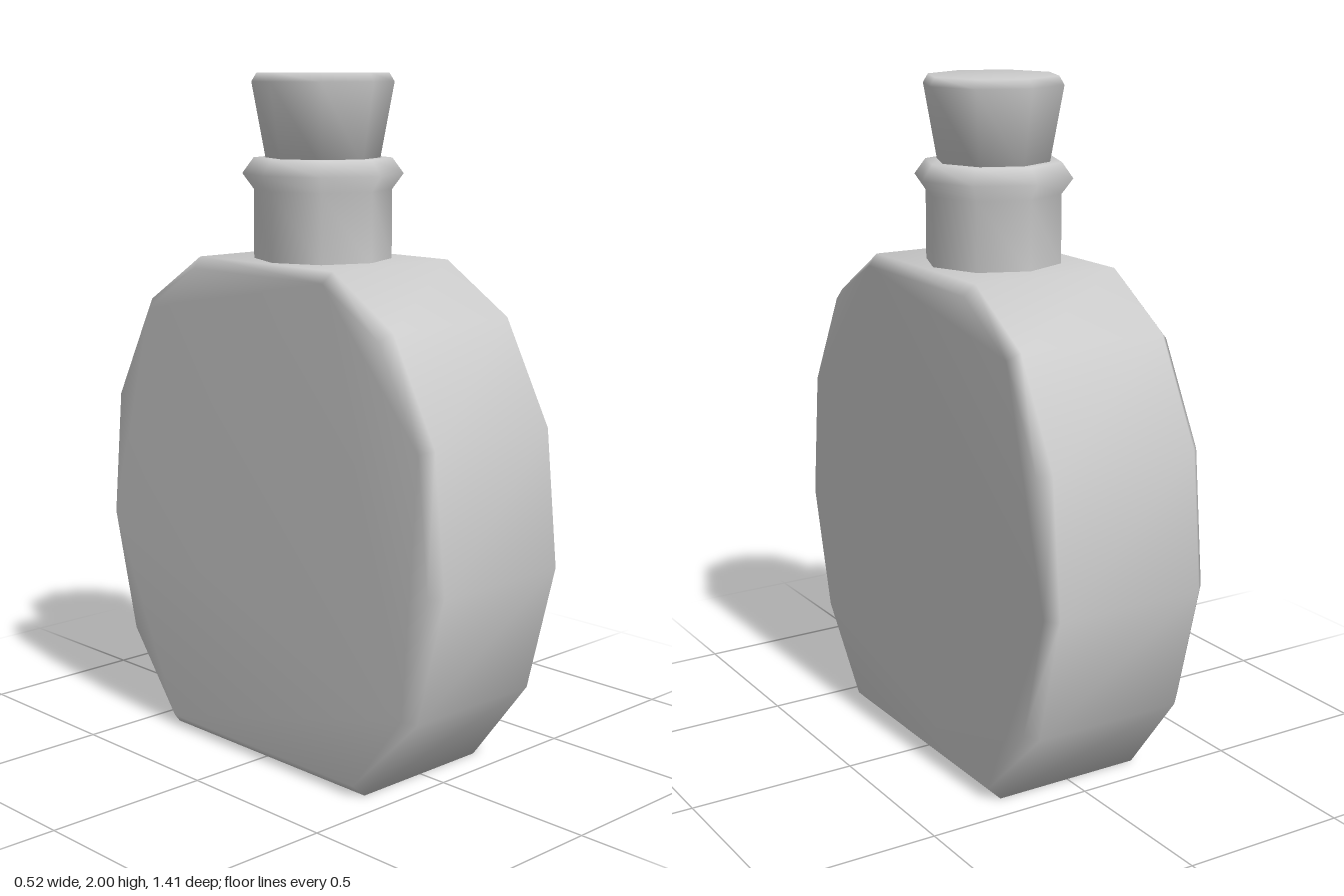
import * as THREE from 'three';
import { mergeVertices } from 'three/addons/utils/BufferGeometryUtils.js';

// Weld the corners and shade smoothly across all edges
function smooth(geometry) {
  geometry.deleteAttribute('uv');
  geometry.deleteAttribute('normal');
  const welded = mergeVertices(geometry, 1e-4);
  welded.computeVertexNormals();
  return welded;
}

export function createModel() {
  const group = new THREE.Group();
  const material = new THREE.MeshStandardMaterial({ color: 0xcccccc });

  function add(name, geometry) {
    const mesh = new THREE.Mesh(smooth(geometry), material);
    mesh.name = name;
    group.add(mesh);
  }

  // Eight-sided turned part from [radius, height] pairs, bottom to top
  function turned(name, profile) {
    add(name, new THREE.LatheGeometry(profile.map(([r, y]) => new THREE.Vector2(r, y)), 8));
  }

  // Flat flask body: mirrored half outline, extruded across x with a chamfered rim
  const half = [[0.41, 0], [0.61, 0.26], [0.705, 0.635], [0.665, 1.03], [0.51, 1.325], [0.28, 1.47]];
  const outline = [...half, ...half.map(([z, y]) => [-z, y]).reverse()];
  const chamfer = 0.032;
  const depth = 0.46;
  const body = new THREE.ExtrudeGeometry(
    new THREE.Shape(outline.map(([z, y]) => new THREE.Vector2(z, y))),
    { depth, bevelSegments: 1, bevelThickness: chamfer, bevelSize: chamfer, bevelOffset: -chamfer }
  );
  body.translate(0, 0, -depth / 2).rotateY(Math.PI / 2);
  add('body', body);

  // Neck with its flared collar
  turned('neck', [[0.2, 1.46], [0.2, 1.67], [0.233, 1.715], [0.2, 1.76], [0.15, 1.76]]);

  // Tapered stopper with a chamfered top
  turned('stopper', [[0, 1.74], [0.162, 1.74], [0.205, 1.975], [0.19, 2], [0, 2]]);

  return group;
}
